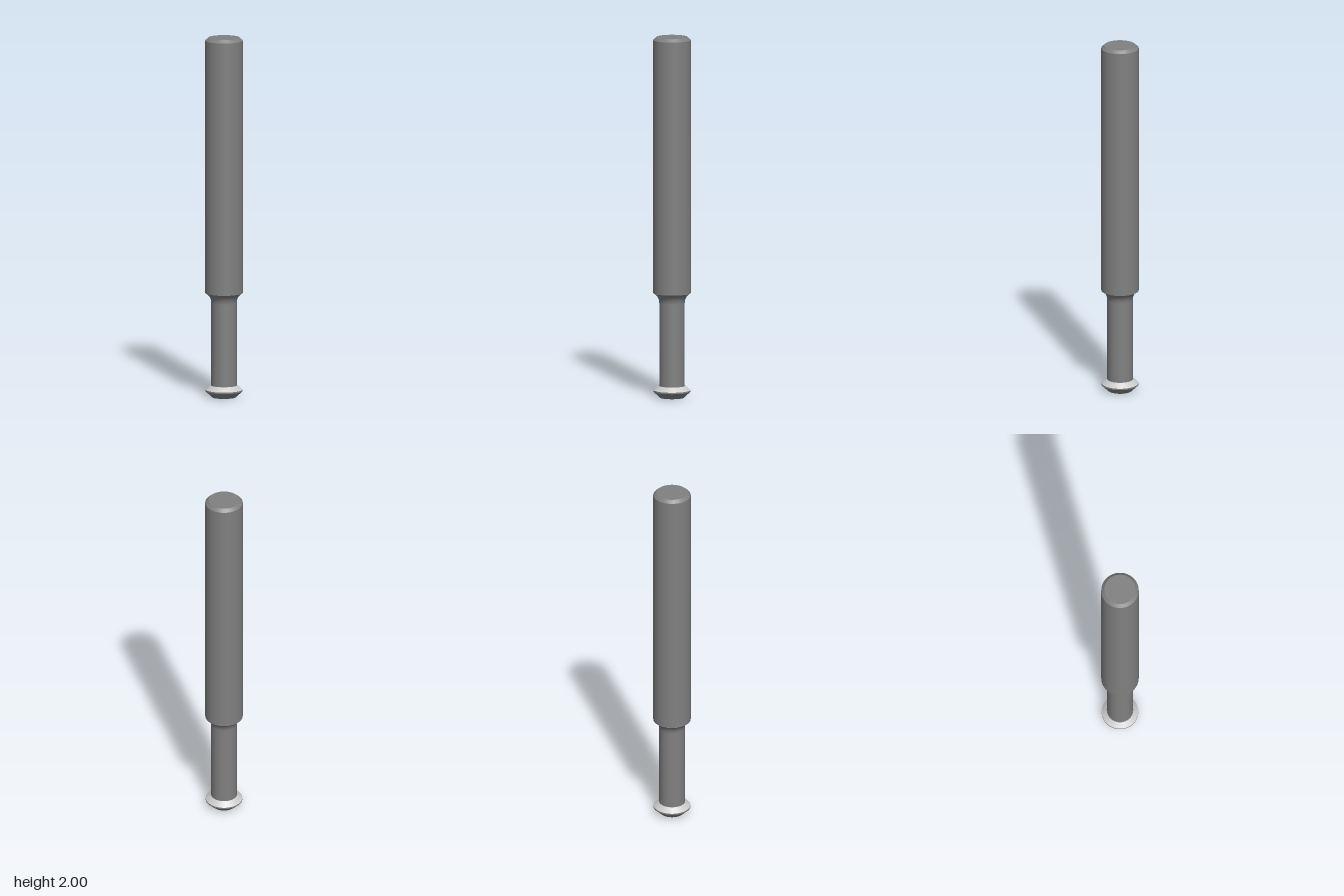
import * as THREE from 'three';

const SEGMENTS = 96;

export function createModel() {
  const group = new THREE.Group();
  const steel = new THREE.MeshStandardMaterial({ color: 0x808080 });
  const bright = new THREE.MeshStandardMaterial({ color: 0xcccccc });

  // One turned surface; separate bands keep the edges between them sharp
  function band(name, profile, material = steel) {
    const points = profile.map(([r, y]) => new THREE.Vector2(r, y));
    const mesh = new THREE.Mesh(new THREE.LatheGeometry(points, SEGMENTS), material);
    mesh.name = name;
    group.add(mesh);
  }

  const shankR = 0.103, neckR = 0.07, headR = 0.101;

  // Cutting head: flat tip, lower bevel, narrow land, bright upper bevel
  band('tipFace', [[0, 0], [0.066, 0]]);
  band('lowerBevel', [[0.066, 0], [headR, 0.033]]);
  band('headLand', [[headR, 0.033], [headR, 0.041]]);
  band('upperBevel', [[headR, 0.041], [0.073, 0.066]], bright);
  band('headShoulder', [[0.073, 0.066], [neckR, 0.066]]);

  // Slim neck
  band('neck', [[neckR, 0.066], [neckR, 0.525]]);

  // Concave fillet flaring from the neck out to the shank
  const filletR = 0.062, rise = 0.055;
  const sweep = Math.asin(rise / filletR);
  const fillet = [];
  for (let i = 0; i <= 12; i++) {
    const a = (sweep * i) / 12;
    fillet.push([neckR + filletR * (1 - Math.cos(a)), 0.525 + filletR * Math.sin(a)]);
  }
  band('neckFillet', fillet);

  // Shank with chamfered end
  band('shank', [[shankR, 0.58], [shankR, 1.984]]);
  band('endChamfer', [[shankR, 1.984], [0.086, 2]]);
  band('endFace', [[0.086, 2], [0, 2]]);

  return group;
}
